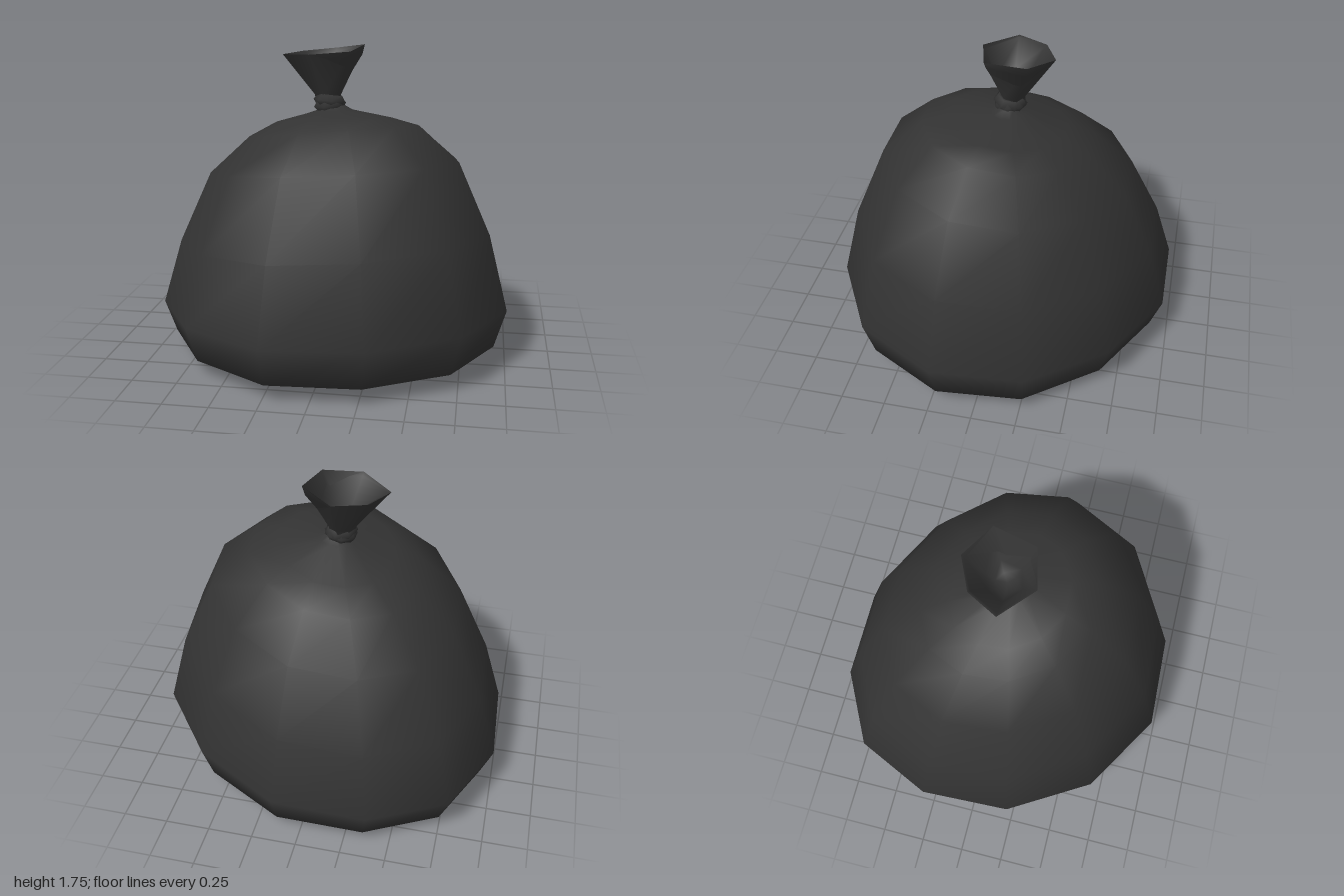
import * as THREE from 'three';
import { mergeVertices } from 'three/addons/utils/BufferGeometryUtils.js';

// Skin a stack of rings (equal-length arrays of [x, y, z]) with smooth normals.
function loft(rings) {
  const n = rings[0].length, index = [];
  for (let i = 0; i < rings.length - 1; i++) {
    for (let j = 0; j < n; j++) {
      const a = i * n + j, b = i * n + (j + 1) % n, c = a + n, d = b + n;
      index.push(a, c, b, b, c, d);
    }
  }
  let geo = new THREE.BufferGeometry();
  geo.setAttribute('position', new THREE.Float32BufferAttribute(rings.flat(2), 3));
  geo.setIndex(index);
  geo = mergeVertices(geo, 1e-4);
  geo.computeVertexNormals();
  return geo;
}

export function createModel() {
  const group = new THREE.Group();
  const plastic = new THREE.MeshStandardMaterial({ color: 0x333333, side: THREE.DoubleSide });
  plastic.name = 'black plastic';

  const add = (name, geo) => {
    const mesh = new THREE.Mesh(geo, plastic);
    mesh.name = name;
    group.add(mesh);
    return mesh;
  };

  // Irregular twelve-sided plan of the bag at its widest, as [x, z]
  const plan = [
    [-0.38, -0.96], [0.14, -0.96], [0.62, -0.70], [0.95, -0.28], [1.0, 0.23], [0.76, 0.68],
    [0.29, 0.94], [-0.25, 0.96], [-0.71, 0.68], [-0.98, 0.22], [-1.0, -0.30], [-0.80, -0.74],
  ];
  // Levels: [scale, height, slope along x, slope along z]; the bag leans up to its front left
  const levels = [
    [0, 0.02, 0, 0], [0.35, 0.012, 0, 0], [0.69, 0.006, 0, 0.005], [0.935, 0.09, 0.01, 0.01],
    [1, 0.288, 0.028, 0.032], [0.89, 0.68, 0.062, 0.072], [0.71, 1.07, 0.075, 0.125],
    [0.485, 1.272, 0.09, 0.15], [0.33, 1.335, 0.06, 0.17], [0.1, 1.39, 0.02, 0.03], [0.05, 1.42, 0, 0],
  ];
  add('bag', loft(levels.map(([s, y, ax, az]) =>
    plan.map(([x, z]) => [x * s, y + ax * x * s + az * z * s, z * s]))));

  // Knot: two lumpy bands tilted against each other round the neck
  [[0.05, 0.12, 1.422], [-0.12, -0.1, 1.442]].forEach(([tx, tz, y], i) => {
    const geo = new THREE.TorusGeometry(0.058, 0.036, 5, 7);
    geo.rotateX(Math.PI / 2);
    geo.rotateY(i * 0.5);
    const band = add('knotBand' + (i + 1), geo);
    band.position.set(-0.032, y, -0.005);
    band.rotation.set(tx, 0, tz);
  });

  // Gathered mouth: six-sided funnel with an uneven rim, as [x, y, z]
  const rim = [
    [-0.30, 1.70, 0], [-0.21, 1.705, -0.17], [-0.03, 1.718, -0.25],
    [0.15, 1.75, -0.13], [0.10, 1.73, 0.11], [-0.12, 1.715, 0.165],
  ];
  const base = [-0.032, 1.41, -0.01];
  const toward = (t, y) => rim.map(p => [
    base[0] + (p[0] - base[0]) * t,
    y ?? base[1] + (p[1] - base[1]) * t,
    base[2] + (p[2] - base[2]) * t,
  ]);
  add('mouth', loft([toward(0.28, 1.41), toward(0.32, 1.475), rim]));
  // Inside of the mouth, narrowing to a closed floor
  add('mouthInside', loft([
    rim, toward(0.93, 1.695), toward(0.5, 1.56), toward(0.28, 1.49), toward(0, 1.5),
  ]));

  return group;
}
